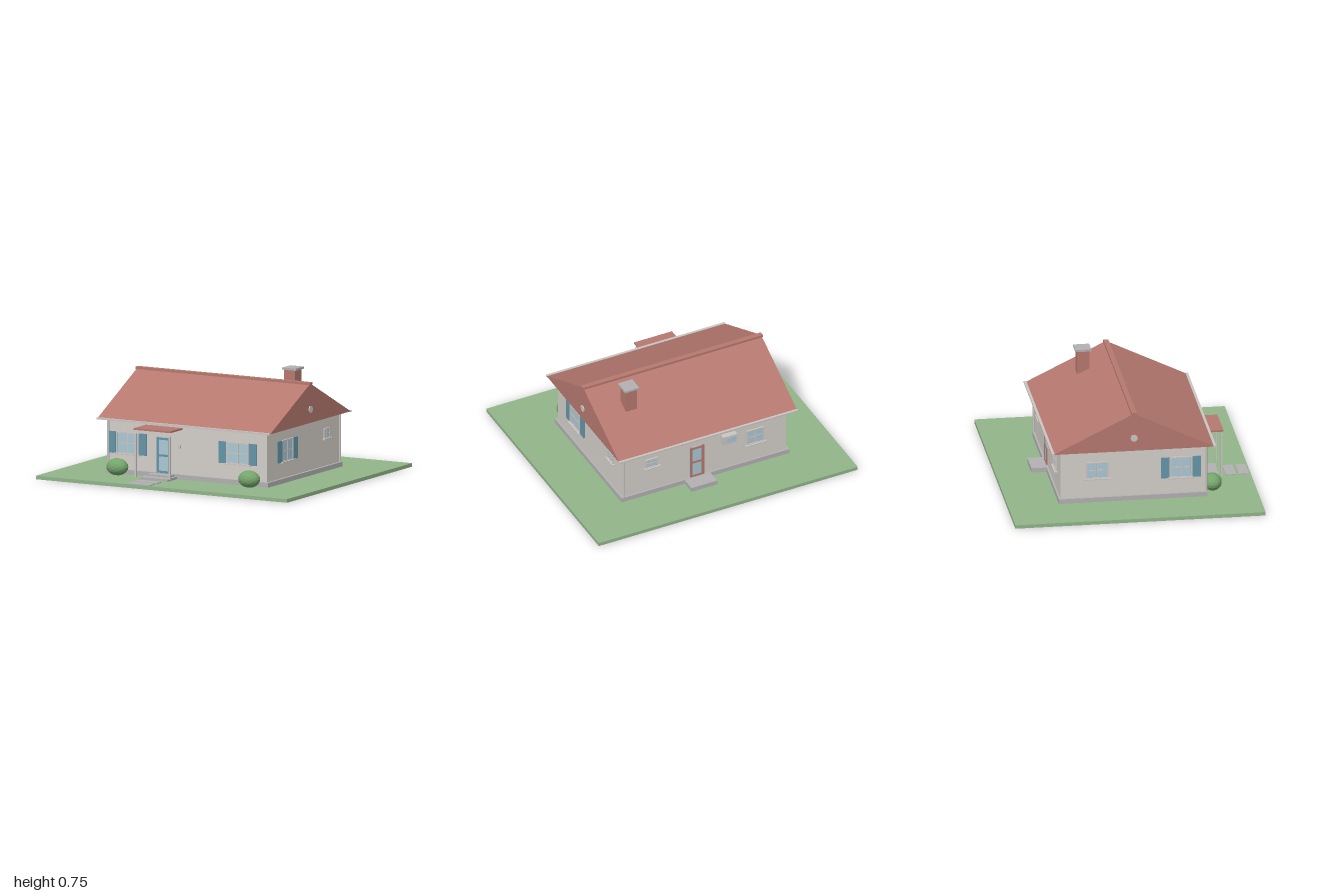
import * as THREE from 'three';

const flat = (name, color) => {
  const m = new THREE.MeshStandardMaterial({ color });
  m.name = name;
  return m;
};

export function createModel() {
  const grass = flat('grass', 0x92b48a);
  const plaster = flat('plaster', 0xd3cec8);
  const tile = flat('roofTile', 0xb5786f);
  const stone = flat('stone', 0xb2b0b0);
  const glass = flat('glass', 0xabc8d4);
  const blue = flat('bluePaint', 0x6495a8);
  const leaf = flat('leaf', 0x74a56c);
  const trim = flat('trim', 0xcac6c2);
  leaf.flatShading = true;

  const house = new THREE.Group();
  house.name = 'house';

  const add = (parent, name, geometry, material, x = 0, y = 0, z = 0) => {
    const mesh = new THREE.Mesh(geometry, material);
    mesh.name = name;
    mesh.position.set(x, y, z);
    parent.add(mesh);
    return mesh;
  };
  // Box given by its lower and upper limits on each axis
  const box = (parent, name, material, [x0, x1], [y0, y1], [z0, z1]) =>
    add(parent, name, new THREE.BoxGeometry(x1 - x0, y1 - y0, z1 - z0), material,
      (x0 + x1) / 2, (y0 + y1) / 2, (z0 + z1) / 2);

  // Lot, foundation and walls
  box(house, 'lawn', grass, [-1, 1], [0, 0.025], [-0.875, 0.875]);
  box(house, 'foundation', stone, [-0.648, 0.648], [0.025, 0.058], [-0.52, 0.52]);
  box(house, 'walls', plaster, [-0.63, 0.63], [0.058, 0.41], [-0.505, 0.505]);

  // Gabled roof: triangle in z and y, extruded along x
  const gable = new THREE.Shape();
  gable.moveTo(-0.565, 0.408);
  gable.lineTo(0.565, 0.408);
  gable.lineTo(0, 0.684);
  gable.closePath();
  const roofGeometry = new THREE.ExtrudeGeometry(gable, { depth: 1.376, bevelEnabled: false });
  roofGeometry.translate(0, 0, -0.688).rotateY(Math.PI / 2);
  add(house, 'roof', roofGeometry, tile);
  box(house, 'ridgeCap', tile, [-0.695, 0.695], [0.675, 0.692], [-0.018, 0.018]);

  // Gutters, gable vents, diagonally opposite downspouts
  for (const s of [-1, 1]) {
    box(house, 'gutter', trim, [-0.69, 0.69], [0.403, 0.415], [s * 0.565 - 0.009, s * 0.565 + 0.009]);
    const vent = add(house, 'gableVent', new THREE.CylinderGeometry(0.025, 0.025, 0.008, 16), trim,
      s * 0.69, 0.503, 0);
    vent.rotation.z = Math.PI / 2;
    add(house, 'downspout', new THREE.CylinderGeometry(0.008, 0.008, 0.345, 8), trim,
      s * 0.63, 0.233, -s * 0.512);
  }

  // Chimney
  box(house, 'chimney', tile, [0.39, 0.477], [0.5, 0.736], [-0.243, -0.156]);
  box(house, 'chimneyCap', stone, [0.38, 0.49], [0.735, 0.75], [-0.257, -0.146]);

  // Window built facing +z, centred on its pane
  const makeWindow = (w, h, shutters) => {
    const g = new THREE.Group();
    g.name = 'window';
    const t = 0.009;
    box(g, 'pane', glass, [-w / 2, w / 2], [-h / 2, h / 2], [0, 0.004]);
    for (const s of [-1, 1]) {
      box(g, 'frameSide', trim, [s * w / 2 - t / 2, s * w / 2 + t / 2], [-h / 2, h / 2], [0, 0.01]);
      box(g, 'frameRail', trim, [-w / 2 - t / 2, w / 2 + t / 2],
        [s * h / 2 - t / 2, s * h / 2 + t / 2], [0, 0.011]);
      if (shutters) {
        const c = s * (w / 2 + 0.037);
        box(g, 'shutter', blue, [c - 0.029, c + 0.029], [-h / 2 - 0.003, h / 2 + 0.003], [0, 0.009]);
      }
    }
    box(g, 'mullion', trim, [-0.004, 0.004], [-h / 2, h / 2], [0, 0.008]);
    box(g, 'crossbar', trim, [-w / 2, w / 2], [-0.004, 0.004], [0, 0.007]);
    box(g, 'sill', trim, [-w / 2 - 0.018, w / 2 + 0.018], [-h / 2 - 0.009, -h / 2], [0, 0.022]);
    return g;
  };
  // Glazed door built facing +z, standing on y = 0
  const makeDoor = (name, paint) => {
    const g = new THREE.Group();
    g.name = name;
    const w = 0.108, h = 0.25, t = 0.018;
    box(g, 'doorGlass', glass, [-w / 2, w / 2], [0, h], [0, 0.004]);
    for (const s of [-1, 1]) {
      const c = s * (w - t) / 2;
      box(g, 'doorStile', paint, [c - t / 2, c + t / 2], [0, h], [0, 0.009]);
    }
    for (const y of [0, 0.115, h - t])
      box(g, 'doorRail', paint, [-w / 2 + t, w / 2 - t], [y, y + t * 0.8], [0, 0.009]);
    return g;
  };

  // Put an opening on a wall: u is x on front and back, z on the sides
  const walls = {
    front: u => [u, 0.505, 0],
    back: u => [u, -0.505, Math.PI],
    plusX: u => [0.63, u, Math.PI / 2],
    minusX: u => [-0.63, u, -Math.PI / 2],
  };
  const mount = (part, wall, u, y) => {
    const [x, z, turn] = walls[wall](u);
    part.position.set(x, y, z);
    part.rotation.y = turn;
    house.add(part);
  };
  const windows = [
    ['front', -0.477, 0.243, 0.17, 0.146, true],
    ['front', 0.4, 0.243, 0.17, 0.146, true],
    ['plusX', 0.227, 0.247, 0.145, 0.146, true],
    ['plusX', -0.326, 0.285, 0.075, 0.066, false],
    ['minusX', 0.335, 0.247, 0.145, 0.146, true],
    ['minusX', -0.25, 0.255, 0.15, 0.115, false],
    ['back', 0.41, 0.28, 0.085, 0.066, false],
    ['back', -0.39, 0.25, 0.12, 0.115, false],
  ];
  for (const [wall, u, y, w, h, shutters] of windows) mount(makeWindow(w, h, shutters), wall, u, y);
  mount(makeDoor('frontDoor', blue), 'front', -0.19, 0.058);
  mount(makeDoor('backDoor', tile), 'back', 0.06, 0.058);

  // Front porch: canopy, posts, steps, pavers and wall lamp
  box(house, 'canopy', tile, [-0.335, -0.042], [0.373, 0.385], [0.505, 0.675]);
  for (const x of [-0.325, -0.053])
    box(house, 'porchPost', trim, [x - 0.006, x + 0.006], [0.042, 0.347], [0.658, 0.67]);
  box(house, 'lowerStep', stone, [-0.3, -0.08], [0.025, 0.042], [0.505, 0.65]);
  box(house, 'upperStep', stone, [-0.28, -0.1], [0.025, 0.054], [0.505, 0.585]);
  for (const z of [0.735, 0.825])
    box(house, 'paver', stone, [-0.282, -0.1], [0.025, 0.031], [z - 0.036, z + 0.036]);
  box(house, 'wallLamp', trim, [-0.072, -0.056], [0.24, 0.262], [0.505, 0.52]);

  // Back step and air conditioner
  box(house, 'backStep', stone, [-0.04, 0.16], [0.025, 0.057], [-0.625, -0.505]);
  box(house, 'airConditioner', trim, [-0.235, -0.125], [0.277, 0.342], [-0.545, -0.505]);
  box(house, 'airConditionerGrille', glass, [-0.222, -0.155], [0.287, 0.332], [-0.548, -0.545]);

  // Faceted bushes beside the front corners
  for (const s of [-1, 1]) {
    const bush = add(house, 'bush', new THREE.IcosahedronGeometry(1, 2), leaf, s * 0.525, 0.083, 0.57);
    bush.scale.set(0.08, 0.06, 0.066);
  }
  return house;
}
